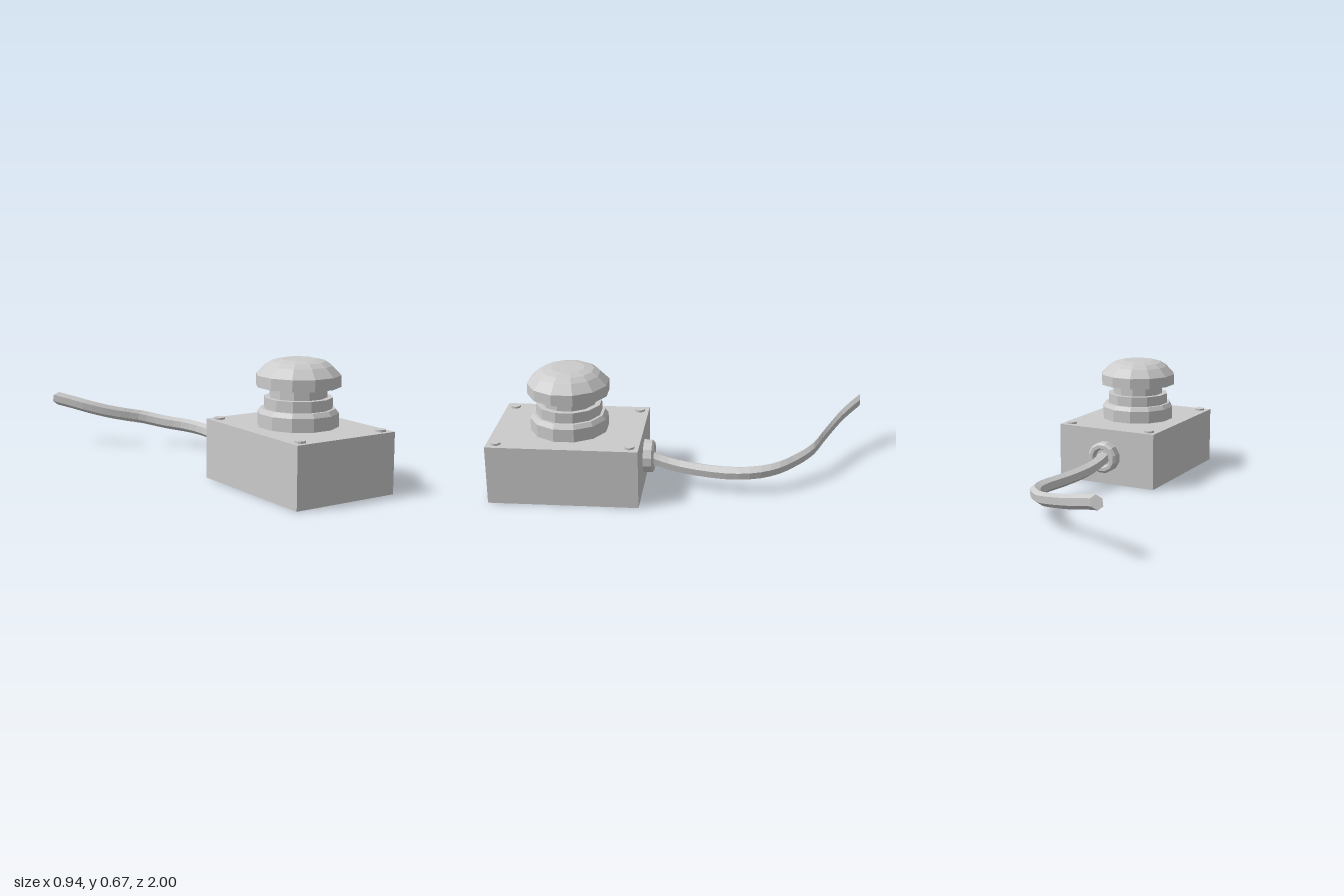
import * as THREE from 'three';

const material = new THREE.MeshStandardMaterial({ color: 0xcccccc, flatShading: true });
const CX = 0.168, CZ = 0.598;

function addMesh(parent, name, geometry, x = 0, y = 0, z = 0) {
  const mesh = new THREE.Mesh(geometry, material);
  mesh.name = name;
  mesh.position.set(x, y, z);
  parent.add(mesh);
  return mesh;
}

// Faceted turned part; profile is [half width across flats, height], flats face the axes
function turned(profile, sides = 12) {
  const k = 1 / Math.cos(Math.PI / sides);
  const points = profile.map(([r, y]) => new THREE.Vector2(r * k, y));
  return new THREE.LatheGeometry(points, sides, Math.PI / sides);
}

// Six-sided sweep whose cross-sections all stay upright and parallel to the back wall
function cableGeometry(path, radius, steps, sides = 6) {
  const curve = new THREE.CatmullRomCurve3(path.map(p => new THREE.Vector3(...p)));
  const positions = [], index = [];
  for (let i = 0; i <= steps; i++) {
    const c = curve.getPoint(i / steps);
    for (let j = 0; j < sides; j++) {
      const a = 1.43 + (j / sides) * Math.PI * 2;
      positions.push(c.x + radius * Math.cos(a), c.y + radius * Math.sin(a), c.z);
    }
  }
  for (let i = 0; i < steps; i++) {
    for (let j = 0; j < sides; j++) {
      const a = i * sides + j, b = i * sides + (j + 1) % sides;
      index.push(a, a + sides, b, b, a + sides, b + sides);
    }
  }
  // End caps
  const last = steps * sides;
  for (let j = 1; j < sides - 1; j++) {
    index.push(0, j, j + 1, last, last + j + 1, last + j);
  }
  const geometry = new THREE.BufferGeometry();
  geometry.setAttribute('position', new THREE.Float32BufferAttribute(positions, 3));
  geometry.setIndex(index);
  geometry.computeVertexNormals();
  return geometry;
}

export function createModel() {
  const model = new THREE.Group();
  model.name = 'pushButtonBox';

  // Housing
  addMesh(model, 'housing', new THREE.BoxGeometry(0.607, 0.322, 0.803), CX, 0.161, CZ);

  // Corner screws
  for (const sx of [-1, 1]) {
    for (const sz of [-1, 1]) {
      addMesh(model, 'screw', new THREE.CylinderGeometry(0.028, 0.028, 0.022, 12),
        CX + sx * 0.252, 0.322, CZ + sz * 0.352);
    }
  }

  // Button: flange, collar, neck and domed cap
  const button = new THREE.Group();
  button.name = 'button';
  button.position.set(CX, 0, CZ);
  model.add(button);
  addMesh(button, 'flange', turned([[0, 0.32], [0.204, 0.32], [0.204, 0.392], [0.187, 0.415], [0, 0.415]]));
  addMesh(button, 'collar', turned([[0, 0.41], [0.172, 0.41], [0.172, 0.472], [0, 0.472]]));
  addMesh(button, 'neck', turned([[0, 0.47], [0.144, 0.47], [0.144, 0.53], [0, 0.53]]));
  addMesh(button, 'cap', turned([[0, 0.528], [0.2125, 0.528], [0.2125, 0.588],
    [0.168, 0.635], [0.135, 0.656], [0.088, 0.667], [0, 0.668]]));

  // Cable gland with a recessed mouth on the back wall
  const gland = addMesh(model, 'cableGland', turned([[0.0875, 0], [0.0875, 0.047],
    [0.075, 0.058], [0.056, 0.058], [0.046, 0.03], [0, 0.03]]), CX, 0.163, 0.198);
  gland.rotation.x = -Math.PI / 2;

  // Cable
  addMesh(model, 'cable', cableGeometry([
    [0.17, 0.163, 0.18], [0.175, 0.14, 0.11], [0.193, 0.118, 0], [0.224, 0.107, -0.18],
    [0.24, 0.11, -0.32], [0.229, 0.118, -0.44], [0.185, 0.127, -0.54], [0.125, 0.136, -0.61],
    [0.07, 0.148, -0.67], [0, 0.166, -0.73], [-0.1, 0.185, -0.778], [-0.2, 0.208, -0.83],
    [-0.3, 0.238, -0.89], [-0.37, 0.262, -0.945], [-0.437, 0.283, -1],
  ], 0.038, 28));

  return model;
}
